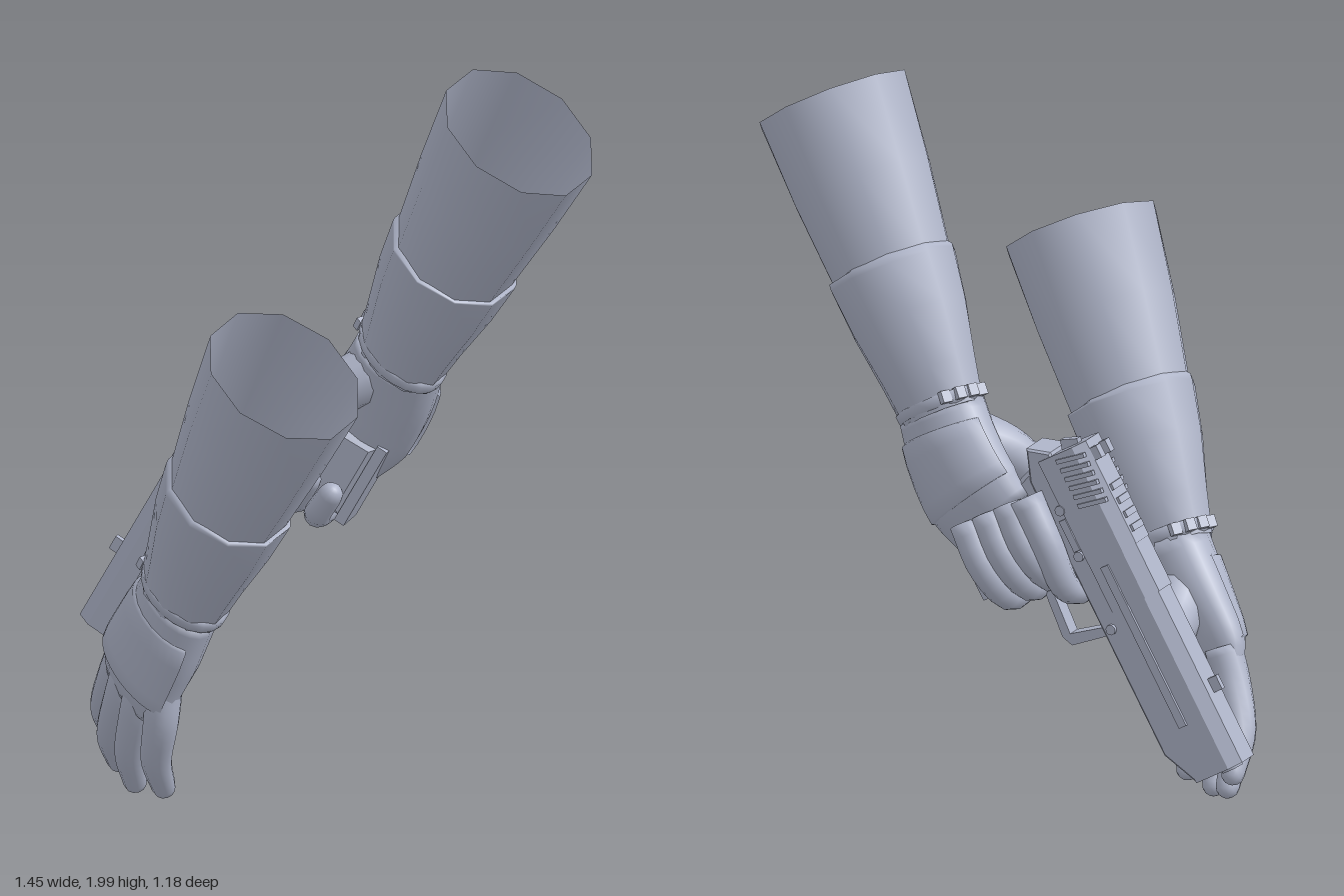
import * as THREE from 'three';

const clay = new THREE.MeshStandardMaterial({ color: 0xaeb4c8, side: THREE.DoubleSide });
clay.name = 'blue grey';

function add(parent, name, geometry) {
  const mesh = new THREE.Mesh(geometry, clay);
  mesh.name = name;
  parent.add(mesh);
  return mesh;
}

// Elliptical cross-sections [x, y, z, halfWidth, halfThickness] swept along a path
function loft(rows, widthDir, { sides = 16, steps = 0, round = false, cap = true, arc = null } = {}) {
  let centres = rows.map(r => new THREE.Vector3(r[0], r[1], r[2]));
  let radii = rows.map(r => [r[3], r[4] ?? r[3]]);
  if (steps) {
    const curve = new THREE.CatmullRomCurve3(centres), source = radii, n = rows.length - 1;
    const ts = Array.from({ length: steps + 1 }, (_, i) => i / steps);
    centres = ts.map(t => curve.getPoint(t));
    radii = ts.map(t => {
      const i = Math.min(n - 1, Math.floor(t * n)), f = t * n - i;
      return [0, 1].map(k => THREE.MathUtils.lerp(source[i][k], source[i + 1][k], f));
    });
  }
  if (round) { // rounded tip
    const end = centres.at(-1).clone(), r = radii.at(-1);
    const dir = end.clone().sub(centres.at(-2)).normalize();
    for (const a of [0.5, 0.95, 1.3]) {
      centres.push(end.clone().addScaledVector(dir, r[1] * Math.sin(a)));
      radii.push(r.map(v => v * Math.cos(a)));
    }
  }
  const pos = [], idx = [], m = centres.length, ring = arc ? sides + 1 : sides;
  const [a0, a1] = arc ?? [0, Math.PI * 2];
  centres.forEach((c, i) => {
    const t = centres[Math.min(i + 1, m - 1)].clone().sub(centres[Math.max(i - 1, 0)]).normalize();
    const w = new THREE.Vector3(...widthDir);
    w.addScaledVector(t, -w.dot(t)).normalize();
    const v = t.clone().cross(w);
    for (let j = 0; j < ring; j++) {
      const a = a0 + (a1 - a0) * j / sides;
      const p = c.clone().addScaledVector(w, radii[i][0] * Math.cos(a)).addScaledVector(v, radii[i][1] * Math.sin(a));
      pos.push(p.x, p.y, p.z);
    }
  });
  for (let i = 0; i < m - 1; i++) for (let j = 0; j < sides; j++) {
    const k = (j + 1) % ring, a = i * ring + j, b = i * ring + k;
    idx.push(a, b, a + ring, b, b + ring, a + ring);
  }
  if (cap && !arc) {
    const s = pos.length / 3, e = (m - 1) * ring;
    pos.push(...centres[0].toArray(), ...centres[m - 1].toArray());
    for (let j = 0; j < sides; j++) {
      const k = (j + 1) % sides;
      idx.push(s, k, j, s + 1, e + j, e + k);
    }
  }
  const g = new THREE.BufferGeometry();
  g.setAttribute('position', new THREE.Float32BufferAttribute(pos, 3));
  g.setIndex(idx);
  g.computeVertexNormals();
  return g;
}

const finger = (rows, w = [1, 0, 0]) => loft(rows, w, { sides: 12, steps: 14, round: true });

// Sleeve, cuff and wrist strap; side = 1 or -1 mirrors in z, lift raises the arm
function buildArm(name, side, lift) {
  const arm = new THREE.Group();
  arm.name = name;
  const w = [0.85, -0.53, 0];
  const place = rows => rows.map(([x, y, z, ...r]) => [x, y + lift, z * side, ...r]);
  add(arm, 'sleeve', loft(place([
    [0.535, 1.38, 0.395, 0.229, 0.205], [0.41, 1.18, 0.388, 0.205, 0.19],
    [0.285, 0.98, 0.38, 0.176, 0.164], [0.25, 0.925, 0.379, 0.165, 0.155]]), w, { sides: 10, cap: false }));
  add(arm, 'cuff', loft(place([
    [0.289, 0.986, 0.38, 0.172, 0.16], [0.286, 0.982, 0.38, 0.187, 0.175], [0.28, 0.972, 0.38, 0.187, 0.175],
    [0.21, 0.86, 0.375, 0.175, 0.157], [0.13, 0.73, 0.369, 0.15, 0.125], [0.07, 0.63, 0.365, 0.134, 0.104]]),
    w, { sides: 10, cap: false }));
  add(arm, 'wristStrap', loft(place([
    [0.091, 0.664, 0.366, 0.13, 0.1], [0.09, 0.662, 0.366, 0.143, 0.111],
    [0.076, 0.64, 0.365, 0.139, 0.107], [0.075, 0.638, 0.365, 0.125, 0.095]]), w, { sides: 20 }));
  for (let i = 0; i < 4; i++) { // buckle links
    const a = Math.PI - 0.55 + i * 0.36;
    const c = 0.14 * Math.cos(a);
    const link = add(arm, 'strapLink', new THREE.BoxGeometry(0.018, 0.032, 0.028));
    link.position.set(0.082 + c * 0.85, 0.65 + lift - c * 0.53, side * (0.365 + 0.109 * Math.sin(a)));
    link.rotation.z = -0.56;
  }
  return arm;
}

// Palm with a raised pad on its back
function buildPalm(parent, rows, w, side) {
  add(parent, 'palm', loft(rows, w, { sides: 20, steps: 12 }));
  const curve = new THREE.CatmullRomCurve3(rows.map(r => new THREE.Vector3(...r)));
  const pad = [0.16, 0.18, 0.3, 0.45, 0.58, 0.69, 0.7].map((t, i) => {
    const k = t * (rows.length - 1), n = Math.floor(k), lip = i === 0 || i === 6 ? -0.008 : 0.008;
    const r = [3, 4].map(q => THREE.MathUtils.lerp(rows[n][q], rows[n + 1][q], k - n) + lip);
    return [...curve.getPoint(t).toArray(), ...r];
  });
  const arc = side > 0 ? [0.3, 2.84] : [-2.84, -0.3];
  add(parent, 'handPad', loft(pad, w, { sides: 14, arc }));
}

function buildOpenHand() {
  const hand = new THREE.Group();
  hand.name = 'openHand';
  buildPalm(hand, [
    [0.08, 0.645, 0.365, 0.128, 0.098], [0, 0.51, 0.375, 0.152, 0.092],
    [-0.07, 0.39, 0.39, 0.162, 0.075], [-0.1, 0.32, 0.385, 0.15, 0.048]], [0.85, -0.5, 0.15], 1);
  const paths = {
    indexFinger: [[-0.17, 0.42, 0.36], [-0.215, 0.33, 0.36], [-0.285, 0.22, 0.335], [-0.33, 0.13, 0.28]],
    middleFinger: [[-0.11, 0.4, 0.39], [-0.145, 0.3, 0.395], [-0.215, 0.17, 0.37], [-0.262, 0.07, 0.31]],
    ringFinger: [[-0.04, 0.38, 0.4], [-0.065, 0.29, 0.405], [-0.122, 0.15, 0.385], [-0.163, 0.045, 0.335]],
    littleFinger: [[0.04, 0.38, 0.4], [0.032, 0.28, 0.405], [-0.012, 0.16, 0.385], [-0.05, 0.06, 0.33]]
  };
  const r = [0.05, 0.048, 0.042, 0.032];
  for (const [name, path] of Object.entries(paths)) add(hand, name, finger(path.map((p, i) => [...p, r[i]])));
  add(hand, 'thumb', finger([[0.01, 0.54, 0.36, 0.1], [-0.06, 0.49, 0.275, 0.082],
    [-0.14, 0.455, 0.19, 0.058], [-0.205, 0.375, 0.125, 0.04]], [0, 1, 0]));
  return hand;
}

// Pistol space: x runs from muzzle to rear, y up from the slide top, z to its side
function buildPistol() {
  const gun = new THREE.Group();
  gun.name = 'pistol';
  const box = (name, x, y, z, l, h, d, tilt = 0) => {
    const b = add(gun, name, new THREE.BoxGeometry(l, h, d));
    b.position.set(x, y, z);
    b.rotation.z = tilt;
  };
  const shapeOf = pts => new THREE.Shape(pts.map(p => new THREE.Vector2(...p)));
  const plate = (name, shape, width, bevel = 0) => {
    const depth = width - bevel * 2;
    const g = new THREE.ExtrudeGeometry(shape, { depth, bevelEnabled: bevel > 0, bevelSize: bevel, bevelThickness: bevel, bevelSegments: 1, bevelOffset: -bevel });
    add(gun, name, g.translate(0, 0, -depth / 2));
  };
  const slide = (name, x, len, top, half) => {
    const s = shapeOf([[-half, -0.14], [half, -0.14], [half, top - 0.035], [half - 0.022, top], [-half + 0.022, top], [-half, top - 0.035]]);
    add(gun, name, new THREE.ExtrudeGeometry(s, { depth: len, bevelEnabled: false }).rotateY(Math.PI / 2).translate(x, 0, 0));
  };
  slide('slideFront', 0, 0.5, 0, 0.058);
  slide('slideMiddle', 0.5, 0.14, 0.004, 0.06);
  slide('slideRear', 0.64, 0.3, 0.006, 0.062);
  plate('frame', shapeOf([[0.006, -0.145], [0.1, -0.194], [0.9, -0.194], [0.985, -0.16], [0.95, -0.1], [0.006, -0.1]]), 0.112, 0.006);
  plate('grip', shapeOf([[0.68, -0.16], [0.67, -0.3], [0.675, -0.455], [0.9, -0.455], [0.89, -0.3], [0.94, -0.16]]), 0.095, 0.015);
  box('magazineBase', 0.788, -0.468, 0, 0.25, 0.03, 0.092);

  // Trigger guard and trigger
  const guard = shapeOf([[0.44, -0.17], [0.46, -0.315], [0.49, -0.33], [0.7, -0.31], [0.7, -0.17]]);
  guard.holes.push(new THREE.Path([[0.465, -0.18], [0.68, -0.18], [0.68, -0.29], [0.49, -0.305]].map(p => new THREE.Vector2(...p))));
  plate('triggerGuard', guard, 0.045);
  add(gun, 'trigger', loft([[0.62, -0.17, 0, 0.012], [0.625, -0.22, 0, 0.011], [0.605, -0.27, 0, 0.008]], [1, 0, 0], { sides: 8 }));

  // Muzzle, sights and side details
  add(gun, 'barrelMouth', new THREE.LatheGeometry([[0.018, -0.03], [0.018, 0.008], [0.03, 0.008], [0.03, -0.03]].map(p => new THREE.Vector2(...p)), 16)
    .rotateZ(Math.PI / 2).translate(0, -0.055, 0));
  box('frontSight', 0.215, 0.01, 0, 0.04, 0.035, 0.016);
  for (const s of [-1, 1]) {
    box('rearSight', 0.9, 0.013, s * 0.027, 0.035, 0.028, 0.025);
    box('sideRib', 0.385, -0.098, s * 0.06, 0.47, 0.024, 0.012);
    box('slideStop', 0.73, -0.15, s * 0.057, 0.09, 0.02, 0.02);
    for (let i = 0; i < 6; i++) box('gripRib', 0.785 + i * 0.026, -0.045, s * 0.062, 0.012, 0.085, 0.014, 0.15);
    for (const [x, y] of [[0.46, -0.165], [0.67, -0.155], [0.8, -0.145]]) {
      const pin = add(gun, 'pin', new THREE.CylinderGeometry(0.014, 0.014, 0.02, 10));
      pin.position.set(x, y, s * 0.056);
      pin.rotation.x = Math.PI / 2;
    }
  }
  for (let i = 0; i < 4; i++) box('topRib', 0.68 + i * 0.04, 0.007, 0, 0.018, 0.012, 0.06);
  box('hammer', 0.945, -0.06, 0, 0.03, 0.05, 0.024, 0.3);

  // Fingers wrapped around the grip
  ['middleFinger', 'ringFinger', 'littleFinger'].forEach((name, i) => {
    const h = -0.268 - i * 0.07;
    add(gun, name, finger([[0.87, h, -0.075, 0.046], [0.75, h, -0.095, 0.043], [0.65, h, -0.045, 0.04],
      [0.655, h, 0.055, 0.037], [0.74, h - 0.01, 0.088, 0.033]], [0, 1, 0]));
  });
  add(gun, 'indexFinger', finger([[0.87, -0.21, -0.08, 0.046], [0.73, -0.21, -0.09, 0.043],
    [0.61, -0.235, -0.055, 0.038], [0.575, -0.25, 0.03, 0.032]], [0, 1, 0]));

  const back = new THREE.Vector3(0.42, 0.873, -0.243).normalize();
  const across = new THREE.Vector3(0.5, 0, 0.866).normalize();
  const up = across.clone().cross(back);
  gun.applyMatrix4(new THREE.Matrix4().makeBasis(back, up, across).setPosition(-0.705, 0.31, 0.068));
  return gun;
}

function buildGripHand() {
  const hand = new THREE.Group();
  hand.name = 'grippingHand';
  buildPalm(hand, [
    [0.08, 1.145, -0.365, 0.128, 0.098], [0.02, 1.04, -0.365, 0.142, 0.09],
    [-0.05, 0.94, -0.352, 0.152, 0.078], [-0.11, 0.87, -0.325, 0.14, 0.055]], [0.78, -0.55, -0.3], -1);
  add(hand, 'thumb', finger([[0.01, 1.08, -0.33, 0.08], [-0.045, 1.03, -0.23, 0.066],
    [-0.085, 0.94, -0.15, 0.05], [-0.075, 0.86, -0.13, 0.036]], [1, 0, 0]));
  return hand;
}

export function createModel() {
  const model = new THREE.Group();
  model.name = 'armsWithPistol';
  model.add(buildArm('openArm', 1, 0), buildOpenHand(), buildArm('grippingArm', -1, 0.5), buildGripHand(), buildPistol());
  return model;
}
